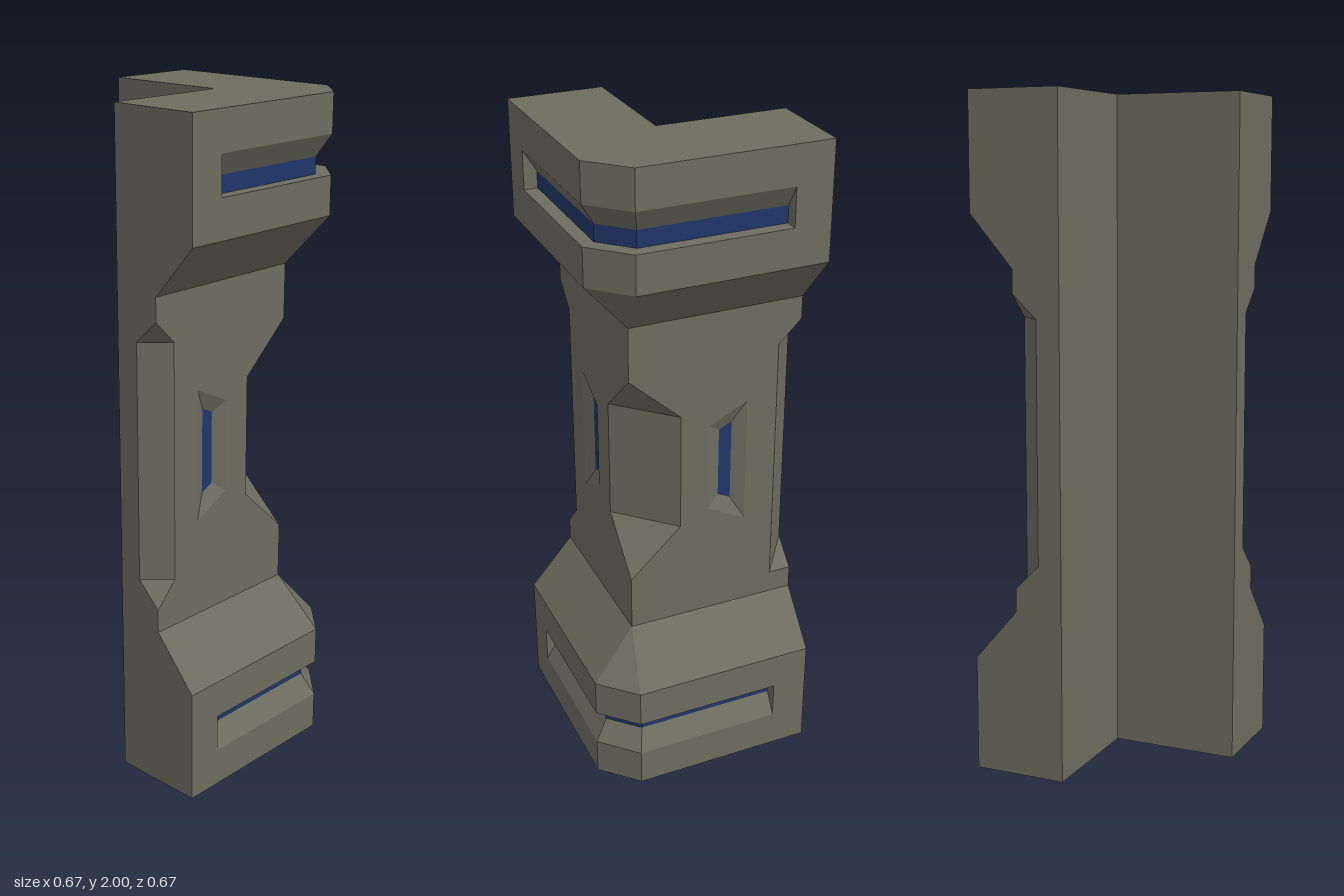
import * as THREE from 'three';

const BODY = new THREE.MeshStandardMaterial({ color: 0x6c6c5f, flatShading: true });
const LIGHT = new THREE.MeshStandardMaterial({ color: 0x203569, flatShading: true });

// Symmetries: swap the two arms of the L, and flip top for bottom.
const same = (p) => p;
const swap = ([x, y, z]) => [z, y, x];
const flipPoint = ([x, y, z]) => [x, 2 - y, z];
const flipDir = ([x, y, z]) => [x, -y, z];

// Collects planar polygons, each facing the given outward direction.
class Part {
  constructor(name, material) {
    this.name = name;
    this.material = material;
    this.pos = [];
  }
  face(points, out, hole = []) {
    const size = out.map(Math.abs);
    const drop = size.indexOf(Math.max(...size));
    const flat = ([...p]) => { p.splice(drop, 1); return new THREE.Vector2(...p); };
    const all = [...points, ...hole].map((p) => new THREE.Vector3(...p));
    const holes = hole.length ? [hole.map(flat)] : [];
    const dir = new THREE.Vector3(...out);
    for (const [a, b, c] of THREE.ShapeUtils.triangulateShape(points.map(flat), holes)) {
      const n = all[b].clone().sub(all[a]).cross(all[c].clone().sub(all[a]));
      const order = n.dot(dir) < 0 ? [a, c, b] : [a, b, c];
      order.forEach((i) => this.pos.push(...all[i].toArray()));
    }
  }
  mesh() {
    const g = new THREE.BufferGeometry();
    g.setAttribute('position', new THREE.Float32BufferAttribute(this.pos, 3));
    g.computeVertexNormals();
    const m = new THREE.Mesh(g, this.material);
    m.name = this.name;
    return m;
  }
}

const E = 0.335;   // outer extent of the end blocks
const C = 0.23;    // where the block corner bevel starts
const S = 0.2;     // outer face of the shaft
const I = 0.052;   // inner face of the L
const G = 0.295;   // back of the light groove
const GC = 0.21;   // where the groove's corner bevel starts
const GX = -0.225; // outer end of the groove

// Flared end block with a light groove wrapping round its corner.
function endBlock(name, top) {
  const body = new Part(name, BODY);
  const light = new Part(name + 'Light', LIGHT);
  const add = (part, arm, pts, out) => part.face(
    pts.map((p) => (top ? flipPoint(arm(p)) : arm(p))), top ? flipDir(arm(out)) : arm(out));

  for (const arm of [same, swap]) {
    // outer face around the groove
    add(body, arm, [[-E, 0, E], [C, 0, E], [C, 0.115, E], [GX, 0.115, E], [GX, 0.23, E],
      [C, 0.23, E], [C, 0.345, E], [-E, 0.345, E]], [0, 0, 1]);
    // groove ramp, ceiling and end wall
    add(body, arm, [[GX, 0.115, E], [C, 0.115, E], [GC, 0.18, G], [GX, 0.18, G]], [0, 1, 0.9]);
    add(body, arm, [[GX, 0.23, E], [C, 0.23, E], [GC, 0.23, G], [GX, 0.23, G]], [0, -1, 0]);
    add(body, arm, [[GX, 0.115, E], [GX, 0.18, G], [GX, 0.23, G], [GX, 0.23, E]], [1, 0, 0]);
    add(light, arm, [[GX, 0.18, G], [GC, 0.18, G], [GC, 0.23, G], [GX, 0.23, G]], [0, 0, 1]);
    // slope in to the shaft
    add(body, arm, [[-E, 0.345, E], [C, 0.345, E], [S, 0.5, S], [-E, 0.5, S]], [0, 0.9, 1]);
  }
  // bevelled corner
  const band = (part, y0, a0, b0, y1, a1, b1, out) => add(part, same,
    [[a0, y0, b0], [b0, y0, a0], [b1, y1, a1], [a1, y1, b1]], out);
  band(body, 0, C, E, 0.115, C, E, [1, 0, 1]);
  band(body, 0.115, C, E, 0.18, GC, G, [1, 0.9, 1]);
  band(light, 0.18, GC, G, 0.23, GC, G, [1, 0, 1]);
  band(body, 0.23, GC, G, 0.23, C, E, [0, -1, 0]);
  band(body, 0.23, C, E, 0.345, C, E, [1, 0, 1]);
  add(body, same, [[C, 0.345, E], [E, 0.345, C], [S, 0.5, S]], [1, 0.9, 1]);
  // L-shaped cap
  add(body, same, [[-E, 0, E], [C, 0, E], [E, 0, C], [E, 0, -E], [I, 0, -E], [I, 0, I], [-E, 0, I]],
    [0, -1, 0]);
  return [body.mesh(), light.mesh()];
}

// Shaft faces with a slit light, a cut corner and cut outer edges.
function shaft() {
  const body = new Part('shaft', BODY);
  const light = new Part('shaftLights', LIGHT);
  const K = 0.04, N = -0.265, D = 0.125; // corner cut, edge cut start, edge cut depth
  const slit = (x0, h0, x1, h1, z) =>
    [[x0, 1 - h0, z], [x1, 1 - h1, z], [x1, 1 + h1, z], [x0, 1 + h0, z]];
  const mouth = slit(-0.17, 0.2, -0.05, 0.14, S);
  const floor = slit(-0.13, 0.13, -0.09, 0.11, S - 0.02);
  const slope = [[0, 1, 1], [-1, 0, 1], [0, -1, 1], [1, 0, 1]];

  for (const arm of [same, swap]) {
    const low = arm === same ? 0.645 : 0.57; // foot of the edge cut differs per arm
    const add = (part, pts, out, hole = []) => part.face(pts.map(arm), arm(out), hole.map(arm));
    add(body, [[-E, 0.5, S], [S, 0.5, S], [S, 0.67, S], [K, 0.82, S], [K, 1.19, S], [S, 1.335, S],
      [S, 1.5, S], [-E, 1.5, S], [-E, 1.43, S], [N, 1.36, S], [N, low, S], [-E, 0.57, S]],
    [0, 0, 1], mouth);
    // slit light
    add(light, floor, [0, 0, 1]);
    mouth.forEach((p, i) => {
      const j = (i + 1) % 4;
      add(body, [p, mouth[j], floor[j], floor[i]], slope[i]);
    });
    // cut outer edge
    add(body, [[-E, 1.43, S], [N, 1.36, S], [-E, 1.36, D]], [-1, -1, 1.1]);
    add(body, [[N, low, S], [N, 1.36, S], [-E, 1.36, D], [-E, 0.645, D]], [-1.1, 0, 1]);
    add(body, [[-E, 0.57, S], [N, low, S], [-E, 0.645, D]], [-0.5, 1, 1.1]);
    // end wall and inner wall, full height
    add(body, [[-E, 0, I], [-E, 0, E], [-E, 0.345, E], [-E, 0.5, S], [-E, 0.57, S], [-E, 0.645, D],
      [-E, 1.36, D], [-E, 1.43, S], [-E, 1.5, S], [-E, 1.655, E], [-E, 2, E], [-E, 2, I]], [-1, 0, 0]);
    add(body, [[-E, 0, I], [I, 0, I], [I, 2, I], [-E, 2, I]], [0, 0, -1]);
  }
  // cut corner
  body.face([[K, 0.82, S], [S, 0.82, K], [S, 1.19, K], [K, 1.19, S]], [1, 0, 1]);
  body.face([[S, 0.67, S], [S, 0.82, K], [K, 0.82, S]], [1, 1, 1]);
  body.face([[S, 1.335, S], [S, 1.19, K], [K, 1.19, S]], [1, -1, 1]);
  return [body.mesh(), light.mesh()];
}

export function createModel() {
  const group = new THREE.Group();
  group.name = 'cornerPillar';
  group.add(...endBlock('base', false), ...shaft(), ...endBlock('capital', true));
  return group;
}
